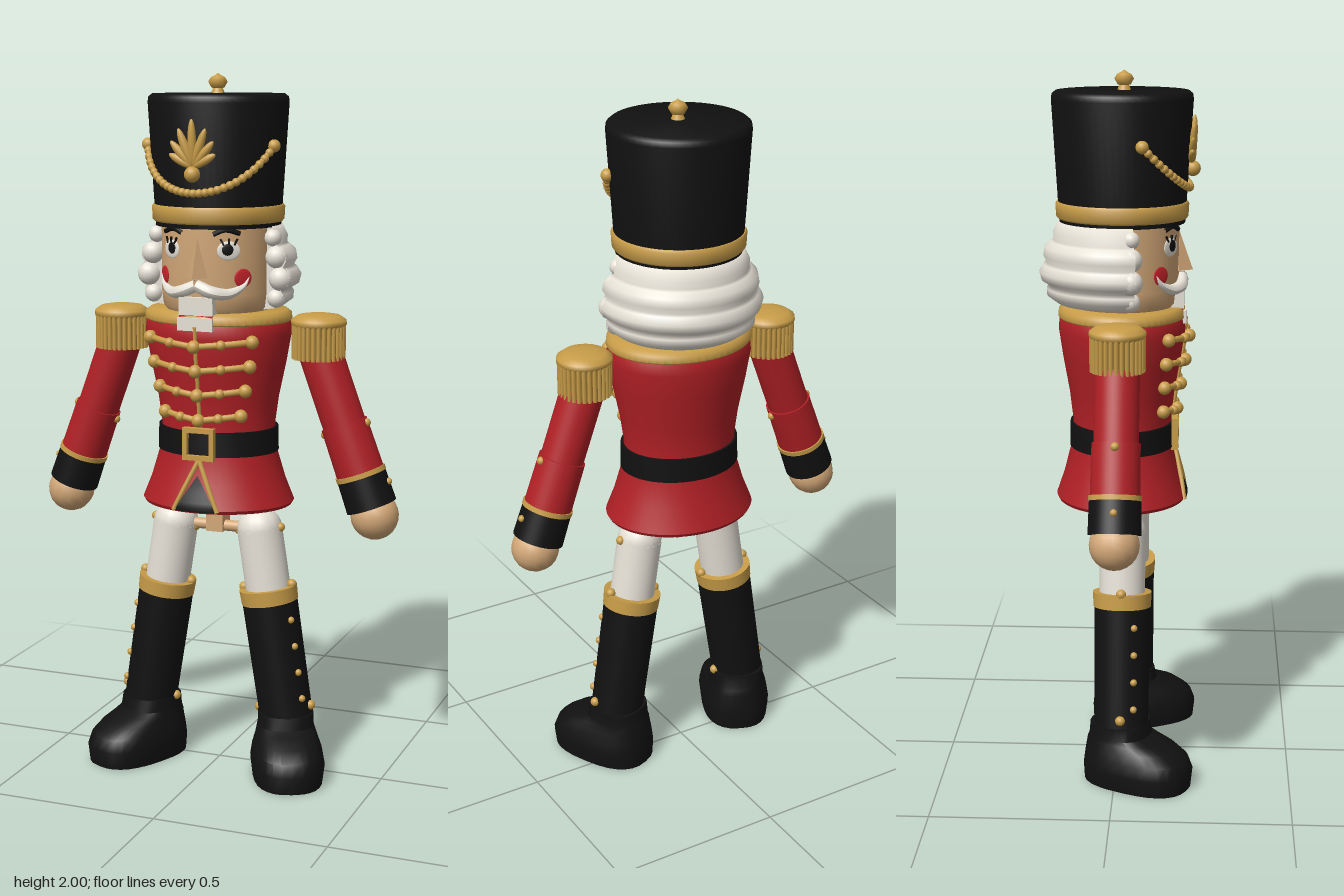
import * as THREE from 'three';
import { toCreasedNormals } from 'three/addons/utils/BufferGeometryUtils.js';

const mat = (name, color, side = THREE.FrontSide) => {
  const m = new THREE.MeshStandardMaterial({ color, side });
  m.name = name;
  return m;
};
const V = (x, y, z) => new THREE.Vector3(x, y, z);
const Z0 = 0.01; // depth of the body axis
const DEPTH = 0.85; // the torso is flatter than it is wide

// Torso half-width by height
const torsoProfile = [[0.215, 0.788], [0.221, 0.798], [0.196, 0.86], [0.172, 0.94], [0.165, 1.02], [0.176, 1.1],
  [0.197, 1.2], [0.211, 1.28], [0.209, 1.32], [0.195, 1.338]];
function torsoRadius(y) {
  const i = Math.max(1, torsoProfile.findIndex((p) => p[1] >= y));
  const [r0, y0] = torsoProfile[i - 1], [r1, y1] = torsoProfile[i];
  return THREE.MathUtils.lerp(r0, r1, (y - y0) / (y1 - y0));
}
const onTorso = (x, y, off = 0) => V(x, y, Z0 + DEPTH * Math.sqrt(Math.max(0, torsoRadius(y) ** 2 - x * x)) + off);

export function createModel() {
  const root = new THREE.Group();
  root.name = 'toySoldier';
  const black = mat('black', 0x111111), red = mat('coatRed', 0xb02025), gold = mat('gold', 0xc79c48);
  const darkGold = mat('darkGold', 0x94702e), white = mat('ivory', 0xe6e1d6, THREE.DoubleSide);
  const skin = mat('wood', 0xd3a878), blush = mat('blush', 0xc4232a);

  const add = (name, geo, m, x = 0, y = 0, z = 0, parent = root) => {
    const o = new THREE.Mesh(geo, m);
    o.name = name;
    o.position.set(x, y, z);
    parent.add(o);
    return o;
  };
  const ball = (name, r, m, x, y, z, parent) => add(name, new THREE.SphereGeometry(r, 16, 12), m, x, y, z, parent);
  const cyl = (name, rt, rb, h, m, x, y, z, parent) => add(name, new THREE.CylinderGeometry(rt, rb, h, 40), m, x, y, z, parent);
  const lathe = (pts, seg = 56, start = 0, len = Math.PI * 2) =>
    new THREE.LatheGeometry(pts.map((p) => new THREE.Vector2(...p)), seg, start, len);
  const tube = (name, pts, r, m) => add(name, new THREE.TubeGeometry(new THREE.CatmullRomCurve3(pts), 24, r, 8), m);

  // Coat, closed below, with gold collar and black belt
  add('coat', toCreasedNormals(lathe([[0, 0.788], ...torsoProfile, [0, 1.338]]), 0.7), red, 0, 0, Z0).scale.z = DEPTH;
  add('collar', toCreasedNormals(lathe([[0.208, 1.315], [0.213, 1.32], [0.211, 1.338], [0.198, 1.348], [0, 1.348]]), 0.9), gold, 0, 0, Z0).scale.z = DEPTH;
  add('belt', toCreasedNormals(lathe([[0.16, 0.943], [0.176, 0.943], [0.174, 1.013], [0.16, 1.013]]), 0.6), black, 0, 0, Z0).scale.z = DEPTH;

  // Belt buckle frame
  for (const s of [1, -1]) {
    add('buckleSide', new THREE.BoxGeometry(0.014, 0.092, 0.02), gold, s * 0.04, 0.98, 0.162);
    add('buckleBar', new THREE.BoxGeometry(0.094, 0.014, 0.02), gold, 0, 0.98 + s * 0.039, 0.162);
  }

  // Black front opening of the skirt, trimmed in gold
  const flap = new THREE.PlaneGeometry(1, 1, 8, 8);
  const fp = flap.attributes.position;
  for (let i = 0; i < fp.count; i++) {
    const v = fp.getY(i) + 0.5, y = 0.792 + v * 0.1;
    fp.setXYZ(i, ...onTorso(fp.getX(i) * 0.13 * (1 - v), y, 0.004).toArray());
  }
  flap.computeVertexNormals();
  add('skirtOpening', flap, black);
  for (const s of [1, -1]) {
    tube('skirtTrim', [0, 0.33, 0.66, 1].map((t) => onTorso(s * 0.066 * t, 0.935 - 0.142 * t, 0.004)), 0.007, gold);
  }

  // Braided chest fastenings
  tube('frontSeam', [1.315, 1.24, 1.15, 1.03].map((y) => onTorso(0, y, 0.002)), 0.006, gold);
  [[1.272, 0.152], [1.202, 0.143], [1.132, 0.128], [1.06, 0.114]].forEach(([y, w]) => {
    const at = (t, off) => onTorso(t * w, y - 0.012 + 0.014 * Math.abs(t), off);
    tube('braid', [-1, -0.75, -0.5, -0.25, 0, 0.25, 0.5, 0.75, 1].map((t) => at(t, 0.009)), 0.009, gold);
    for (const t of [-1, -0.5, 0, 0.5, 1]) {
      ball('braidKnot', t % 1 ? 0.014 : 0.019, gold, ...at(t, 0.013).toArray());
    }
  });

  // Head and hat
  add('head', toCreasedNormals(lathe([[0, 1.34], [0.14, 1.34], [0.155, 1.36], [0.16, 1.4], [0.16, 1.6]]), 0.7), skin, 0, 0, Z0);
  add('hat', toCreasedNormals(lathe([[0, 1.582], [0.176, 1.582], [0.197, 1.922], [0.195, 1.936], [0.185, 1.944], [0, 1.946]]), 0.8), black, 0, 0, Z0);
  add('hatBand', toCreasedNormals(lathe([[0.17, 1.594], [0.18, 1.594], [0.185, 1.6], [0.187, 1.634], [0.183, 1.641], [0.17, 1.641]]), 0.8), gold, 0, 0, Z0);
  cyl('finialStem', 0.012, 0.02, 0.02, gold, 0, 1.953, 0.015);
  add('finial', lathe([[0, 1.955], [0.018, 1.96], [0.027, 1.976], [0.02, 1.988], [0.008, 1.994], [0, 2]], 20), gold, 0, 0, 0.015);

  // Rope draped across the hat
  const rope = (t) => {
    const y = 1.68 + 0.125 * t * t, r = 0.19 + 0.06 * (y - 1.7), a = t * 1.25;
    return V(r * Math.sin(a), y, Z0 + r * Math.cos(a));
  };
  tube('hatRope', Array.from({ length: 13 }, (_, i) => rope(i / 6 - 1)), 0.008, gold);
  for (let i = 0; i <= 28; i++) ball('ropeBead', 0.0115, gold, ...rope(i / 14 - 1).toArray());
  for (const t of [-1, 1]) ball('ropeKnob', 0.018, gold, ...rope(t).toArray());

  // Leaf emblem on the hat
  const emblem = new THREE.Group();
  emblem.name = 'hatEmblem';
  emblem.position.set(0, 1.75, 0.199);
  emblem.rotation.x = 0.06;
  root.add(emblem);
  ball('emblemBase', 0.022, gold, 0, -0.018, 0.008, emblem);
  for (let i = -3; i <= 3; i++) {
    const a = i * 0.36, len = 0.13 - Math.abs(i) * 0.018;
    const leaf = ball('emblemLeaf', 1, gold, Math.sin(a) * len / 2, Math.cos(a) * len / 2, 0.004, emblem);
    leaf.scale.set(0.012, len / 2, 0.011);
    leaf.rotation.z = -a;
  }

  // Wavy hair wrapped round the back of the head
  const hair = [[0.15, 1.352], [0.185, 1.358], [0.212, 1.378], [0.213, 1.398], [0.206, 1.408], [0.228, 1.422], [0.234, 1.445],
    [0.222, 1.466], [0.213, 1.472], [0.222, 1.49], [0.218, 1.515], [0.2, 1.53], [0.193, 1.535], [0.195, 1.555], [0.18, 1.585], [0.15, 1.585]];
  const hairStart = 1.36;
  add('hair', lathe(hair, 48, hairStart, 2 * (Math.PI - hairStart)), white, 0, 0, Z0);
  for (const s of [1, -1]) {
    const end = add('hairEnd', new THREE.ShapeGeometry(new THREE.Shape(hair.map((p) => new THREE.Vector2(...p)))), white, 0, 0, Z0);
    end.rotation.y = s > 0 ? hairStart - Math.PI / 2 : Math.PI * 1.5 - hairStart;
    // Side lock rounding off the front edge
    [[0.185, 1.385, 0.026], [0.198, 1.44, 0.034], [0.186, 1.5, 0.032], [0.174, 1.553, 0.024]].forEach(([x, y, r]) =>
      ball('hairCurl', r, white, s * x, y, 0.042));
  }

  // Face: parts laid flat against the round head
  const onHead = (name, geo, m, x, y, off) => {
    const a = Math.asin(x / 0.16), r = 0.16 + off;
    const o = add(name, geo, m, r * Math.sin(a), y, Z0 + r * Math.cos(a));
    o.rotation.y = a;
    return o;
  };
  const spot = (name, r, m, x, y, off, sy = 1) => onHead(name, new THREE.SphereGeometry(r, 20, 12), m, x, y, off).scale.set(1, sy, 0.14);
  for (const s of [1, -1]) {
    spot('eye', 0.033, white, s * 0.083, 1.523, 0.001, 0.8);
    spot('pupil', 0.016, black, s * 0.08, 1.526, 0.005);
    for (const k of [-1, 0, 1]) {
      onHead('lash', new THREE.BoxGeometry(0.005, 0.02, 0.004), black, s * 0.083 + k * 0.016, 1.547, 0.004).rotation.z = -k * 0.5;
    }
    tube('eyebrow', [0.045, 0.075, 0.11].map((x, i) => V(s * x, [1.568, 1.58, 1.57][i], Z0 + Math.sqrt(0.163 ** 2 - x * x))), 0.007, black);
    spot('cheek', 0.026, blush, s * 0.115, 1.447, 0.001);

    // Moustache half, swelling then tapering to a raised tip
    const curve = new THREE.CatmullRomCurve3([V(0, 1.428, 0.178), V(s * 0.045, 1.41, 0.176), V(s * 0.085, 1.405, 0.15), V(s * 0.118, 1.425, 0.122), V(s * 0.13, 1.45, 0.11)]);
    const g = new THREE.TubeGeometry(curve, 20, 0.022, 10);
    const p = g.attributes.position, v = V(0, 0, 0);
    for (let i = 0; i < p.count; i++) {
      const t = Math.floor(i / 11) / 20, c = curve.getPointAt(t);
      v.fromBufferAttribute(p, i).sub(c).multiplyScalar(0.75 + 0.5 * t - 1.2 * t * t).add(c);
      p.setXYZ(i, v.x, v.y, v.z);
    }
    g.computeVertexNormals();
    add('moustache', g, white);
  }
  const nose = add('nose', new THREE.ConeGeometry(0.03, 0.11, 4, 1), skin, 0, 1.503, 0.17);
  nose.geometry = toCreasedNormals(nose.geometry, 0.3);
  nose.scale.z = 1.3;
  add('teeth', new THREE.BoxGeometry(0.1, 0.05, 0.05), white, 0, 1.37, 0.16);
  add('mouthLine', new THREE.BoxGeometry(0.098, 0.008, 0.046), blush, 0, 1.342, 0.16);
  add('jaw', new THREE.BoxGeometry(0.104, 0.036, 0.066), white, 0, 1.321, 0.16);

  // Hip block and crossbar
  add('hipBlock', new THREE.BoxGeometry(0.05, 0.1, 0.06), skin, 0, 0.75, 0.015);
  cyl('hipBar', 0.016, 0.016, 0.2, skin, 0, 0.715, 0.018).rotation.z = Math.PI / 2;

  // Boot foot: rings of [height, half-width, back, front]
  const rings = [[0, 0.001, 0.05, 0.052], [0, 0.1, -0.1, 0.212], [0.05, 0.106, -0.102, 0.217], [0.085, 0.1, -0.098, 0.203], [0.112, 0.09, -0.094, 0.165],
    [0.13, 0.084, -0.09, 0.115], [0.142, 0.081, -0.084, 0.088], [0.178, 0.08, -0.08, 0.08], [0.178, 0.001, 0, 0.002]];
  const N = 28, pos = [], idx = [];
  const bulge = (c) => Math.sign(c) * Math.abs(c) ** 0.78;
  rings.forEach(([y, w, b, f], i) => {
    for (let j = 0; j < N; j++) {
      const a = j / N * Math.PI * 2;
      pos.push(w * bulge(Math.cos(a)), y, (b + f) / 2 + (f - b) / 2 * bulge(Math.sin(a)));
      if (i === rings.length - 1) continue;
      const q = i * N + j, n = i * N + (j + 1) % N;
      idx.push(q, q + N, n, n, q + N, n + N);
    }
  });
  let foot = new THREE.BufferGeometry();
  foot.setAttribute('position', new THREE.Float32BufferAttribute(pos, 3));
  foot.setIndex(idx);
  foot = toCreasedNormals(foot, 0.6);

  for (const s of [1, -1]) {
    const side = s > 0 ? 'left' : 'right';
    const limb = (name, x, y, z, angle) => {
      const g = new THREE.Group();
      g.name = side + name;
      g.position.set(s * x, y, z);
      g.rotation.z = s * angle;
      root.add(g);
      return g;
    };

    // Epaulette with hanging fringe
    const ep = limb('Epaulette', 0.3, 1.22, 0.012, 0);
    add('epauletteTop', lathe([[0, 0.088], [0.07, 0.088], [0.078, 0.096], [0.077, 0.108], [0.06, 0.12], [0.03, 0.125], [0, 0.126]], 32), gold, 0, 0, 0, ep);
    cyl('fringeCore', 0.069, 0.069, 0.09, darkGold, 0, 0.048, 0, ep);
    for (let i = 0; i < 30; i++) {
      const a = i / 30 * Math.PI * 2;
      add('fringe', new THREE.CylinderGeometry(0.006, 0.006, 0.095, 6), gold, 0.07 * Math.cos(a), 0.046, 0.07 * Math.sin(a), ep);
    }

    // Arm
    const arm = limb('Arm', 0.3, 1.25, 0.012, 0.35);
    cyl('upperSleeve', 0.061, 0.061, 0.29, red, 0, -0.115, 0, arm);
    cyl('forearmSleeve', 0.066, 0.068, 0.15, red, 0, -0.3, 0, arm);
    cyl('cuffTrim', 0.072, 0.072, 0.014, gold, 0, -0.373, 0, arm);
    cyl('cuff', 0.07, 0.072, 0.09, black, 0, -0.425, 0, arm);
    ball('hand', 0.068, skin, 0, -0.497, 0, arm);
    for (const k of [1, -1]) ball('elbowPin', 0.012, gold, k * 0.064, -0.24, 0, arm);
    ball('cuffButton', 0.01, gold, s * 0.071, -0.415, 0, arm);

    // Leg and boot shaft
    const leg = limb('Leg', 0.13, 0.715, 0.018, 0.153);
    ball('hipJoint', 0.065, white, 0, 0, 0, leg);
    cyl('thigh', 0.065, 0.065, 0.2, white, 0, -0.1, 0, leg);
    cyl('bootTrim', 0.084, 0.082, 0.042, gold, 0, -0.193, 0, leg);
    cyl('bootShaft', 0.08, 0.077, 0.36, black, 0, -0.385, 0, leg);
    for (const k of [1, -1]) {
      ball('hipPin', 0.013, gold, k * 0.064, 0, 0, leg);
      ball('kneePin', 0.014, gold, k * 0.074, -0.168, 0, leg);
      ball('anklePin', 0.014, gold, k * 0.079, -0.53, 0, leg);
    }
    for (let i = 0; i < 4; i++) ball('bootButton', 0.01, gold, s * 0.07, -0.265 - i * 0.078, 0.037, leg);
    add(side + 'Foot', foot, black, s * 0.212, 0, 0.015).rotation.y = s * 0.43;
  }
  return root;
}
